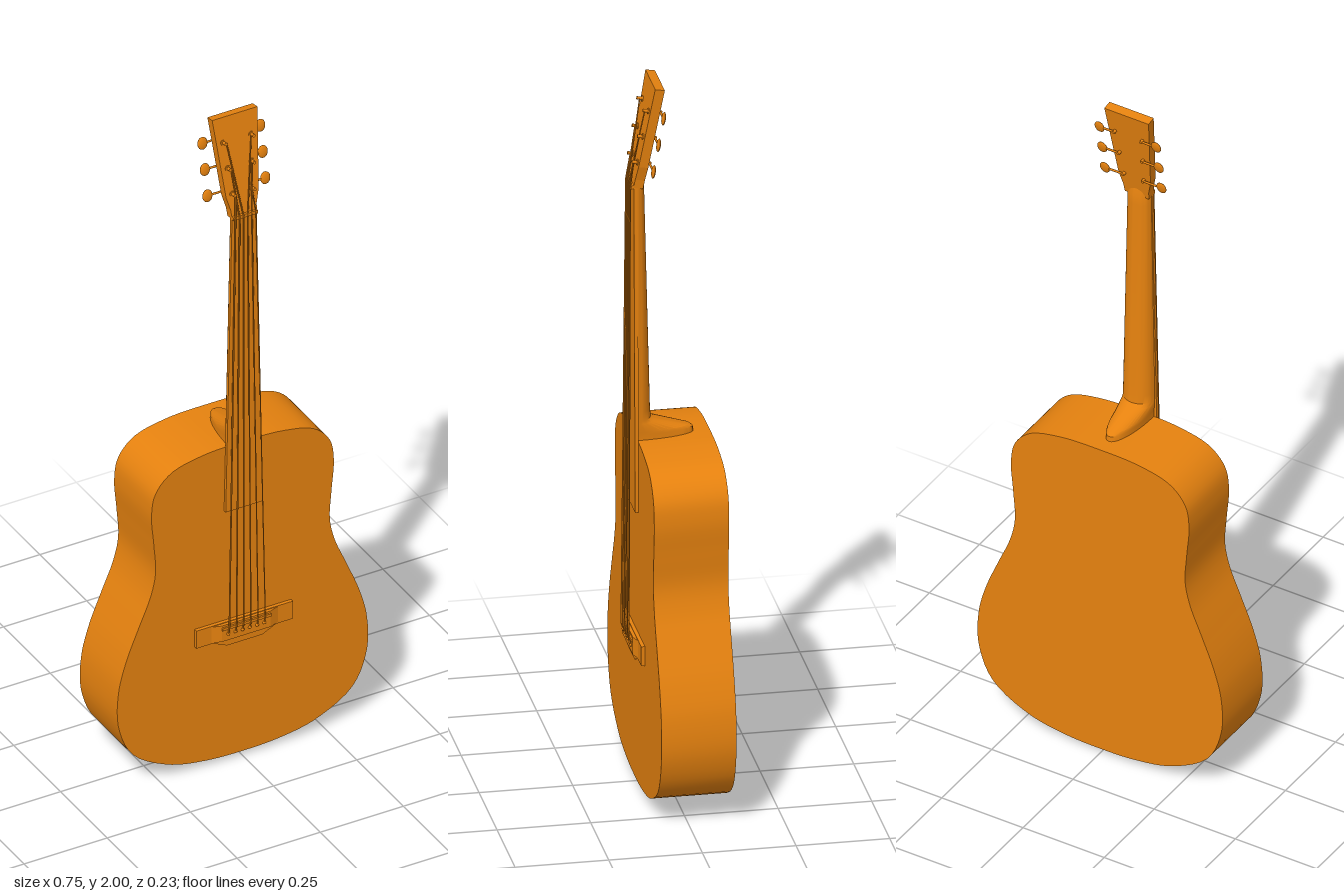
import * as THREE from 'three';
import { toCreasedNormals } from 'three/addons/utils/BufferGeometryUtils.js';

const wood = new THREE.MeshStandardMaterial({ color: 0xe6820f });

function add(parent, name, geometry, x = 0, y = 0, z = 0) {
  const mesh = new THREE.Mesh(geometry, wood);
  mesh.name = name;
  mesh.position.set(x, y, z);
  parent.add(mesh);
  return mesh;
}

// Plate symmetric about x = 0, from its right-hand outline points
function plate(half, depth) {
  const pts = [...half, ...half.filter(p => p[0] > 0).reverse().map(([x, y]) => [-x, y])];
  const shape = new THREE.Shape(pts.map(p => new THREE.Vector2(...p)));
  return new THREE.ExtrudeGeometry(shape, { depth, bevelEnabled: false });
}

// Thin round rod between two points
function rod(parent, name, from, to, radius, sides = 6) {
  const a = new THREE.Vector3(...from), b = new THREE.Vector3(...to);
  const dir = b.clone().sub(a);
  const mesh = add(parent, name, new THREE.CylinderGeometry(radius, radius, dir.length(), sides));
  mesh.position.copy(a).add(b).multiplyScalar(0.5);
  mesh.quaternion.setFromUnitVectors(new THREE.Vector3(0, 1, 0), dir.normalize());
  return mesh;
}

// Half-round neck lofted through rings of [y, half width, back z]
function neckGeometry(rings, front, steps = 20) {
  const pos = [], index = [], row = steps + 1;
  rings.forEach(([y, w, back], i) => {
    for (let j = 0; j <= steps; j++) {
      const a = Math.PI * j / steps;
      pos.push(w * Math.cos(a), y, front - (front - back) * Math.sin(a));
      if (i && j) {
        const d = i * row + j, c = d - 1, b = d - row, e = b - 1;
        index.push(e, b, d, e, d, c);
      }
    }
  });
  const g = new THREE.BufferGeometry();
  g.setAttribute('position', new THREE.Float32BufferAttribute(pos, 3));
  g.setIndex(index);
  return toCreasedNormals(g, 0.6);
}

export function createModel() {
  const guitar = new THREE.Group();
  guitar.name = 'guitar';

  // Body: closed spline outline with straight sides
  const side = [[0.12, 0.985], [0.215, 0.96], [0.262, 0.91], [0.274, 0.845], [0.267, 0.75], [0.262, 0.66],
    [0.277, 0.59], [0.312, 0.505], [0.35, 0.41], [0.373, 0.32], [0.373, 0.21], [0.33, 0.11], [0.22, 0.043], [0.11, 0.02]];
  const outline = [[0, 0.99], ...side, [0, 0.015], ...side.map(([x, y]) => [-x, y]).reverse()];
  const curve = new THREE.CatmullRomCurve3(outline.map(([x, y]) => new THREE.Vector3(x, y, 0)), true);
  const bodyShape = new THREE.Shape(curve.getPoints(140).slice(0, -1).map(p => new THREE.Vector2(p.x, p.y)));
  const body = new THREE.ExtrudeGeometry(bodyShape, { depth: 0.2, bevelEnabled: false });
  add(guitar, 'body', toCreasedNormals(body, 0.6), 0, 0, -0.115);

  // Strap button under the body
  add(guitar, 'endPin', new THREE.CylinderGeometry(0.016, 0.023, 0.012, 20), 0, 0.014, -0.01);
  add(guitar, 'endPinCap', new THREE.CylinderGeometry(0.023, 0.023, 0.009, 20), 0, 0.0045, -0.01);

  // Neck with heel, fretboard and nut
  add(guitar, 'neck', neckGeometry([
    [0.98, 0.043, -0.072], [1.005, 0.043, -0.07], [1.012, 0.044, -0.06], [1.036, 0.046, 0.03],
    [1.045, 0.046, 0.043], [1.07, 0.046, 0.045], [1.68, 0.036, 0.06], [1.71, 0.036, 0.06], [1.75, 0.034, 0.07],
  ], 0.086));
  add(guitar, 'fretboard', plate([[0.056, 0.79], [0.037, 1.71]], 0.01), 0, 0, 0.084);
  add(guitar, 'nut', new THREE.BoxGeometry(0.074, 0.01, 0.018), 0, 1.712, 0.092);

  // Bridge: flat plate with belly, raised middle, saddle
  add(guitar, 'bridge', plate([[0.145, 0.445], [0.145, 0.39], [0.095, 0.39], [0.053, 0.37]], 0.011), 0, 0, 0.084);
  const rise = plate([[0.1, 0], [0.073, 0.009]], 0.05);
  rise.rotateX(Math.PI / 2);
  add(guitar, 'bridgeRise', rise, 0, 0.443, 0.095);
  add(guitar, 'saddle', new THREE.BoxGeometry(0.146, 0.008, 0.012), 0, 0.433, 0.103);

  // Headstock leaning back from the nut
  const head = new THREE.Group();
  head.name = 'headstock';
  head.position.set(0, 1.71, 0.095);
  head.rotation.x = -0.178;
  guitar.add(head);
  add(head, 'headPlate', plate([[0.037, 0], [0.039, 0.025], [0.049, 0.065], [0.068, 0.2947]], 0.026), 0, 0, -0.026);

  // Tuners: post, shaft behind the head and oval button
  const posts = [[0.03, 0.071], [0.036, 0.147], [0.042, 0.223]];
  for (const s of [-1, 1]) {
    for (const [x, y] of posts) {
      rod(head, 'tunerPost', [s * x, y, -0.036], [s * x, y, 0.016], 0.0045, 12);
      rod(head, 'tunerWasher', [s * x, y, 0], [s * x, y, 0.003], 0.008, 16);
      rod(head, 'tunerShaft', [s * x, y, -0.032], [s * 0.088, y, -0.032], 0.003, 10);
      const button = add(head, 'tunerButton', new THREE.SphereGeometry(1, 16, 12), s * 0.087, y, -0.032);
      button.scale.set(0.015, 0.018, 0.005);
    }
  }

  // Strings from the bridge pins over saddle and nut to the posts
  for (let i = 0; i < 6; i++) {
    const t = (i - 2.5) / 2.5, s = Math.sign(t);
    const [px, py] = posts[i < 3 ? i : 5 - i];
    const radius = 0.0022 - i * 0.00015;
    const low = t * 0.054, top = t * 0.031;
    add(guitar, 'bridgePin', new THREE.SphereGeometry(0.005, 10, 8), low, 0.413, 0.104);
    rod(guitar, 'stringEnd', [low, 0.413, 0.105], [low, 0.433, 0.11], radius);
    rod(guitar, 'string', [low, 0.433, 0.11], [top, 1.712, 0.102], radius);
    rod(head, 'stringHead', [top, 0.002, 0.007], [s * (px - 0.005), py, 0.009], radius);
  }
  return guitar;
}
